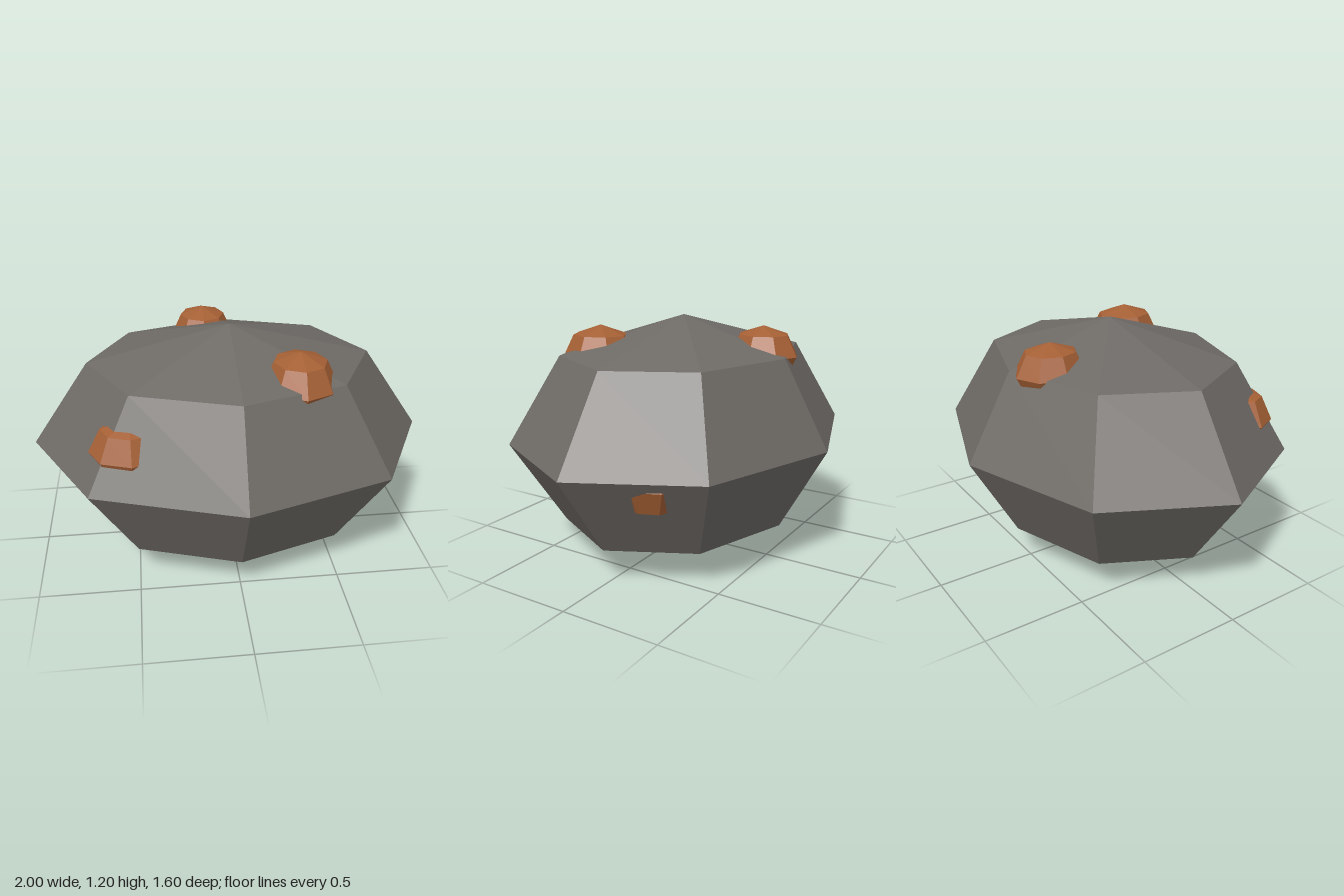
import * as THREE from 'three';

const stone = new THREE.MeshStandardMaterial({ color: 0x6e6a66, flatShading: true });
stone.name = 'grey stone';
const ore = new THREE.MeshStandardMaterial({ color: 0xa56035, flatShading: true });
ore.name = 'copper ore';

// Faceted ellipsoid with eight sides and four bands
function facetedLump(name, material, [x, y, z], [rx, ry, rz]) {
  const geometry = new THREE.SphereGeometry(1, 8, 4).scale(rx, ry, rz).toNonIndexed();
  geometry.computeVertexNormals();
  const mesh = new THREE.Mesh(geometry, material);
  mesh.name = name;
  mesh.position.set(x, y, z);
  return mesh;
}

export function createModel() {
  const group = new THREE.Group();
  group.name = 'oreRock';

  // Boulder
  group.add(facetedLump('boulder', stone, [0, 0.6, 0], [1, 0.6, 0.8]));

  // Nuggets half sunk into the boulder: position, radii
  const nuggets = {
    nuggetTopFront: [[0.3, 1.0, 0.3], [0.18, 0.16, 0.2]],
    nuggetTopBack: [[-0.1, 1.016, -0.4], [0.162, 0.144, 0.18]],
    nuggetFrontRight: [[-0.5, 0.75, 0.4], [0.2, 0.16, 0.172]],
    nuggetBackLeft: [[0.65, 0.55, -0.25], [0.18, 0.16, 0.18]],
  };
  for (const [name, [position, radii]] of Object.entries(nuggets)) {
    group.add(facetedLump(name, ore, position, radii));
  }
  return group;
}
